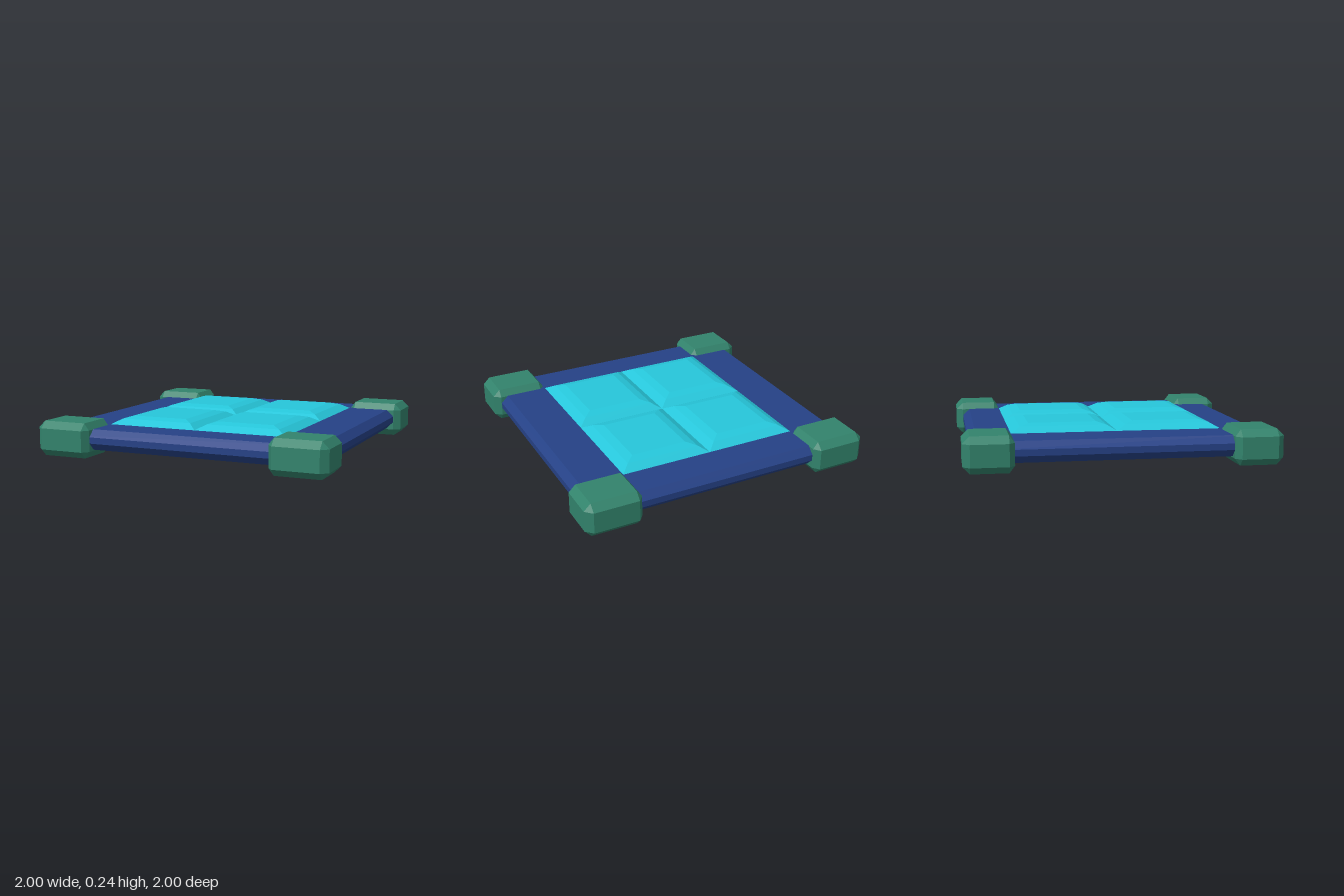
import * as THREE from 'three';
import { ConvexGeometry } from 'three/addons/geometries/ConvexGeometry.js';

const mat = (name, color) => Object.assign(new THREE.MeshStandardMaterial({ color, flatShading: true }), { name });

// Joins rectangular rings [halfX, y, halfZ], listed from the bottom up, optionally closing the top
function stackRings(levels, capTop) {
  const pos = [];
  const rings = levels.map(([x, y, z]) => [[x, y, z], [x, y, -z], [-x, y, -z], [-x, y, z]]);
  const quad = (a, b, c, d) => pos.push(...a, ...b, ...c, ...a, ...c, ...d);
  for (let r = 0; r < rings.length - 1; r++) {
    for (let i = 0; i < 4; i++) {
      const j = (i + 1) % 4;
      quad(rings[r][i], rings[r][j], rings[r + 1][j], rings[r + 1][i]);
    }
  }
  if (capTop) quad(...rings[rings.length - 1]);
  const geo = new THREE.BufferGeometry();
  geo.setAttribute('position', new THREE.Float32BufferAttribute(pos, 3));
  geo.computeVertexNormals();
  return geo;
}

// Box with all edges chamfered: a wider cut on the outer sides than on the inner ones
function cornerBlock(sx, sz) {
  const points = [];
  const sides = (inner) => [[inner, 0.035], [1, -0.045]];
  for (const [x, cx] of sides(0.62)) {
    for (const [z, cz] of sides(0.685)) {
      for (const [y, cy] of [[0, 0.045], [0.23, -0.045]]) {
        points.push(
          new THREE.Vector3(sx * x, y + cy, sz * (z + cz)),
          new THREE.Vector3(sx * (x + cx), y, sz * (z + cz)),
          new THREE.Vector3(sx * (x + cx), y + cy, sz * z));
      }
    }
  }
  return new ConvexGeometry(points);
}

export function createModel() {
  const model = new THREE.Group();
  model.name = 'panel';
  const blue = mat('frame blue', 0x254186);
  const green = mat('corner green', 0x32836c);
  const cyan = mat('tile cyan', 0x26c6da);
  const add = (name, geo, material) => {
    const mesh = new THREE.Mesh(geo, material);
    mesh.name = name;
    model.add(mesh);
    return mesh;
  };

  // Bevelled frame around the tile opening
  add('frame', stackRings([
    [0.905, 0.052, 0.905], [0.953, 0.1, 0.953], [0.953, 0.141, 0.953],
    [0.905, 0.187, 0.905], [0.62, 0.187, 0.685],
  ], false), blue);

  // Underside
  const base = add('basePlate', new THREE.PlaneGeometry(1.81, 1.81), cyan);
  base.rotation.x = Math.PI / 2;
  base.position.y = 0.052;

  // Four pillowed tiles and four corner blocks
  const tile = stackRings([
    [0.31, 0.187, 0.3425], [0.25, 0.221, 0.2825], [0.19, 0.236, 0.2225],
  ], true);
  for (const sx of [-1, 1]) {
    for (const sz of [-1, 1]) {
      const place = (sz > 0 ? 'Front' : 'Back') + (sx > 0 ? 'Left' : 'Right');
      add('tile' + place, tile, cyan).position.set(sx * 0.31, 0, sz * 0.3425);
      add('cornerBlock' + place, cornerBlock(sx, sz), green);
    }
  }
  return model;
}
